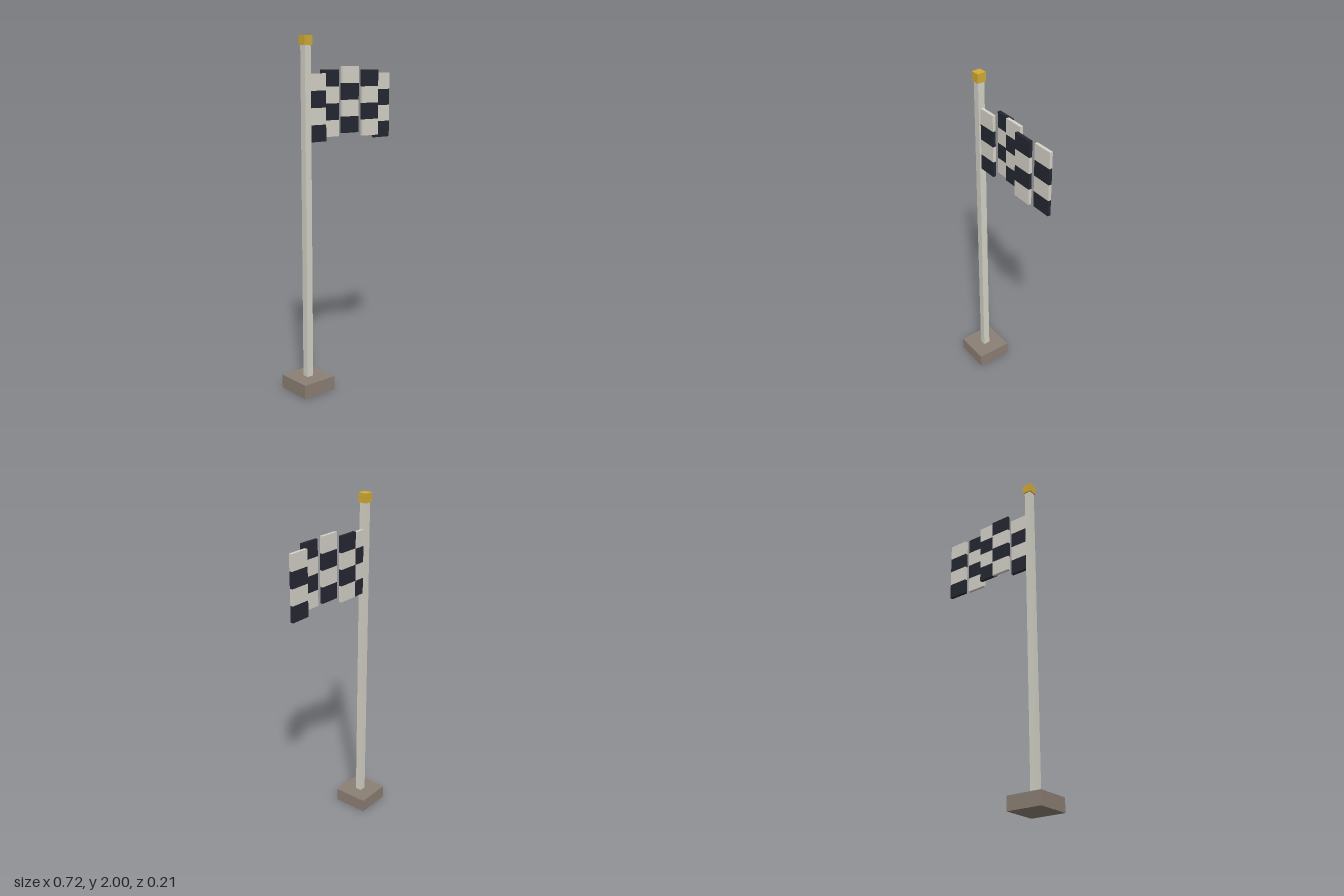
import * as THREE from 'three';

const material = (color) => new THREE.MeshStandardMaterial({ color, flatShading: true });

export function createModel() {
  const model = new THREE.Group();
  const stone = material(0x8c8075);
  const paint = material(0xd6d4c9);
  const gold = material(0xd4ac35);
  const light = material(0xd8d4cb);
  const dark = material(0x262833);

  const addBox = (parent, name, size, position, mat) => {
    const mesh = new THREE.Mesh(new THREE.BoxGeometry(...size), mat);
    mesh.name = name;
    mesh.position.set(...position);
    parent.add(mesh);
  };

  // Square base, pole and finial share one axis
  const poleX = -0.2535;
  addBox(model, 'base', [0.213, 0.08, 0.213], [poleX, 0.04, 0], stone);
  addBox(model, 'pole', [0.04, 1.87, 0.04], [poleX, 1.015, 0], paint);
  addBox(model, 'finial', [0.053, 0.053, 0.053], [poleX, 1.9735, 0], gold);

  // Chequered flag: stepped columns of tiles that rise and sway like a wave
  const flag = new THREE.Group();
  flag.name = 'flag';
  const tileW = 0.12, tileH = 0.093;
  const tops = [1.799, 1.818, 1.837, 1.818, 1.799];
  const sway = [0, -0.033, 0, 0.033, 0];
  tops.forEach((top, col) => {
    const column = new THREE.Group();
    column.name = `flagColumn${col + 1}`;
    column.position.set(-0.18 + col * tileW, top, sway[col]);
    for (let row = 0; row < 4; row++) {
      const mat = (col + row) % 2 ? dark : light;
      addBox(column, `tile${row + 1}`, [tileW, tileH, 0.018], [0, -(row + 0.5) * tileH, 0], mat);
    }
    flag.add(column);
  });
  model.add(flag);

  return model;
}
